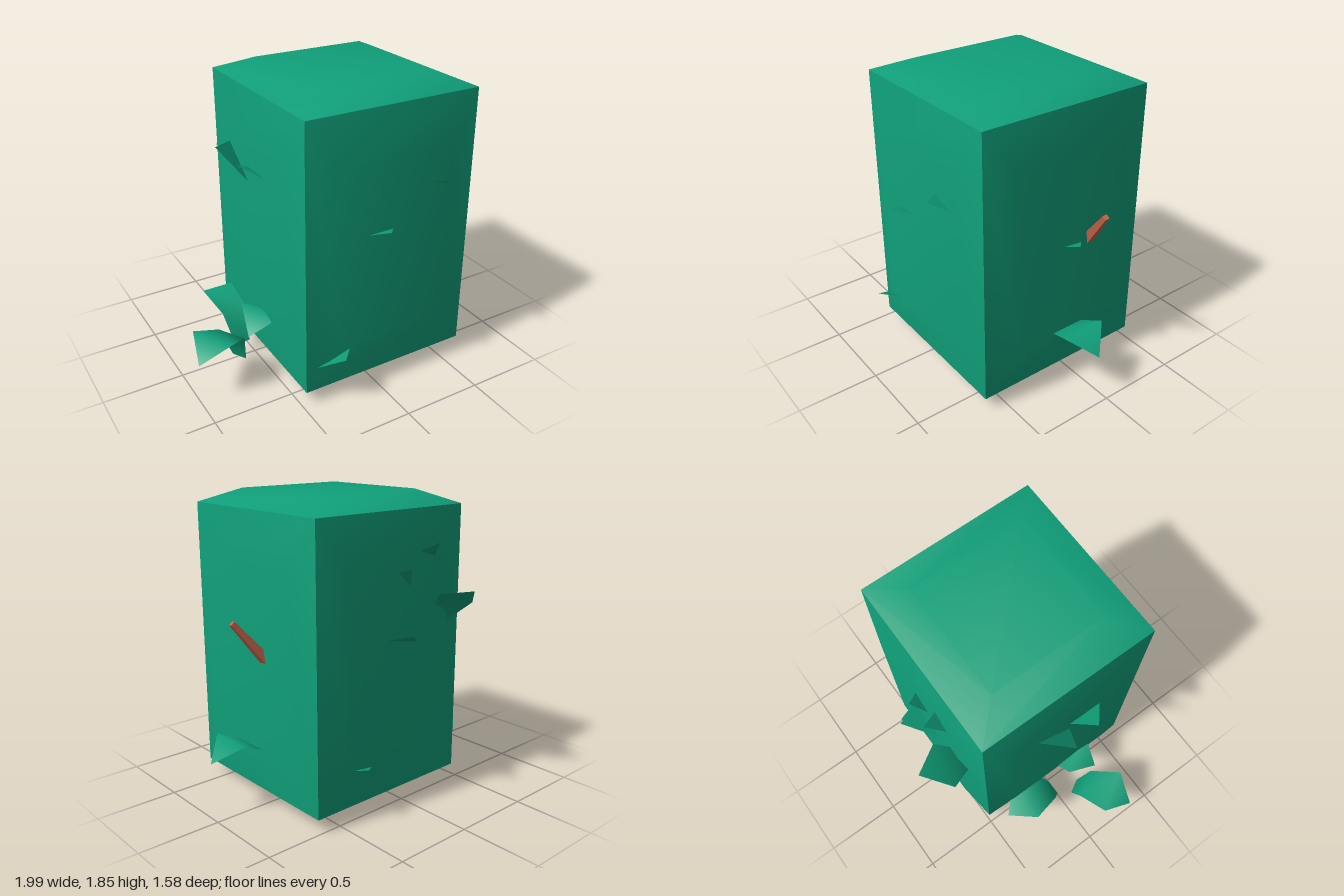
import * as THREE from 'three';

const green = new THREE.MeshStandardMaterial({ color: 0x10a07a });
const leafGreen = new THREE.MeshStandardMaterial({ color: 0x10a07a, side: THREE.DoubleSide });
const red = new THREE.MeshStandardMaterial({ color: 0xc4644b });

function buildMesh(name, points, index, material) {
  const geo = new THREE.BufferGeometry();
  geo.setAttribute('position', new THREE.Float32BufferAttribute(points.flat(), 3));
  geo.setIndex(index);
  geo.computeVertexNormals();
  const mesh = new THREE.Mesh(geo, material);
  mesh.name = name;
  return mesh;
}

// Block whose six sides each swell into a raised inner panel, smooth within a side
function block() {
  const group = new THREE.Group();
  group.name = 'bushBody';
  const half = [0.56, 0.84, 0.56], bulge = [0.055, 0.085, 0.055], inset = 0.65;
  const corners = [[-1, -1], [1, -1], [1, 1], [-1, 1]];
  const index = [4, 5, 6, 4, 6, 7];
  for (let i = 0; i < 4; i++) {
    const j = (i + 1) % 4;
    index.push(i, j, j + 4, i, j + 4, i + 4);
  }
  for (let axis = 0; axis < 3; axis++) {
    for (const sign of [-1, 1]) {
      const u = (axis + 1) % 3, v = (axis + 2) % 3;
      const points = [];
      for (const raised of [0, 1]) {
        for (const [a, b] of corners) {
          const p = [0, 0, 0];
          const s = raised ? inset : 1;
          p[axis] = sign * (half[axis] + raised * bulge[axis]);
          p[u] = a * half[u] * s * sign; // mirrored on the negative side to keep winding outward
          p[v] = b * half[v] * s;
          points.push(p);
        }
      }
      group.add(buildMesh('bodySide', points, index, green));
    }
  }
  group.position.set(0.09, 0.925, 0.07);
  return group;
}

// Broad arched leaf: stem, shoulder, widest row, drooping tip; points along +z
function broadLeaf(x, y, z, angle) {
  const rows = [[-0.255, -0.295, 0.05], [-0.187, -0.085, 0.095], [0, 0, 0.142]];
  const points = rows.flatMap(([along, up, w]) => [[-w, up, along], [w, up, along]]);
  points.push([0, -0.11, 0.14]);
  const leaf = buildMesh('broadLeaf', points,
    [0, 1, 3, 0, 3, 2, 2, 3, 5, 2, 5, 4, 4, 5, 6], leafGreen);
  leaf.position.set(x, y, z);
  leaf.rotation.y = angle;
  return leaf;
}

// Small leaf tip poking out of a side; its root runs on inside the body
function leafTip(tip, a, b) {
  const sink = (p) => p.map((c, i) => tip[i] + (c - tip[i]) * 1.35);
  return buildMesh('leafTip', [tip, sink(a), sink(b)], [0, 1, 2], leafGreen);
}

// Tapered square twig between two points
function twig(from, to) {
  const a = new THREE.Vector3(...from), b = new THREE.Vector3(...to);
  const dir = b.clone().sub(a);
  const geo = new THREE.CylinderGeometry(0.02, 0.042, dir.length(), 4);
  geo.rotateY(Math.PI / 4);
  const material = red.clone();
  material.flatShading = true;
  const mesh = new THREE.Mesh(geo, material);
  mesh.name = 'twig';
  mesh.position.copy(a).add(b).multiplyScalar(0.5);
  mesh.quaternion.setFromUnitVectors(new THREE.Vector3(0, 1, 0), dir.normalize());
  return mesh;
}

export function createModel() {
  const model = new THREE.Group();
  model.name = 'bush';
  model.add(block());

  // Broad leaves near the foot
  const slant = Math.atan2(-0.86, 0.5);
  model.add(
    broadLeaf(-0.88, 0.385, 0.242, slant),
    broadLeaf(-0.54, 0.44, 0.2, slant),
    broadLeaf(-0.58, 0.385, -0.265, Math.PI),
    broadLeaf(0.845, 0.445, 0.07, Math.PI / 2),
  );

  // Large leaf on the back
  model.add(buildMesh('backLeaf',
    [[-0.26, 1.31, -0.79], [-0.41, 1.2, -0.655], [-0.33, 1.06, -0.5], [-0.23, 1.15, -0.5], [-0.15, 1.28, -0.62]],
    [0, 1, 4, 1, 2, 3, 1, 3, 4], leafGreen));

  // Leaf tips: tip, then the two points where it meets the side
  const tips = [
    // front
    [[-0.3, 0.355, 0.785], [-0.39, 0.27, 0.67], [-0.2, 0.335, 0.67]],
    [[-0.02, 1.095, 0.785], [-0.1, 1.055, 0.685], [0.06, 1.055, 0.685]],
    [[0.37, 1.31, 0.785], [0.28, 1.29, 0.685], [0.44, 1.25, 0.685]],
    // back
    [[-0.13, 1.58, -0.635], [-0.2, 1.48, -0.535], [-0.08, 1.53, -0.535]],
    [[0.07, 1.45, -0.615], [0.0, 1.33, -0.54], [0.11, 1.43, -0.54]],
    [[0.12, 1.095, -0.69], [-0.06, 1.0, -0.54], [0.19, 1.05, -0.54]],
    [[0.39, 0.355, -0.62], [0.28, 0.31, -0.53], [0.43, 0.33, -0.53]],
    // sides
    [[-0.68, 1.45, -0.02], [-0.52, 1.23, 0.07], [-0.52, 1.41, -0.17]],
    [[-0.64, 1.4, 0.17], [-0.52, 1.33, 0.28], [-0.52, 1.33, 0.06]],
    [[0.78, 0.975, 0.07], [0.7, 0.955, 0.12], [0.7, 0.94, -0.01]],
  ];
  for (const t of tips) model.add(leafTip(...t));

  model.add(twig([0.64, 0.88, -0.09], [0.865, 1.17, -0.025]));
  return model;
}
